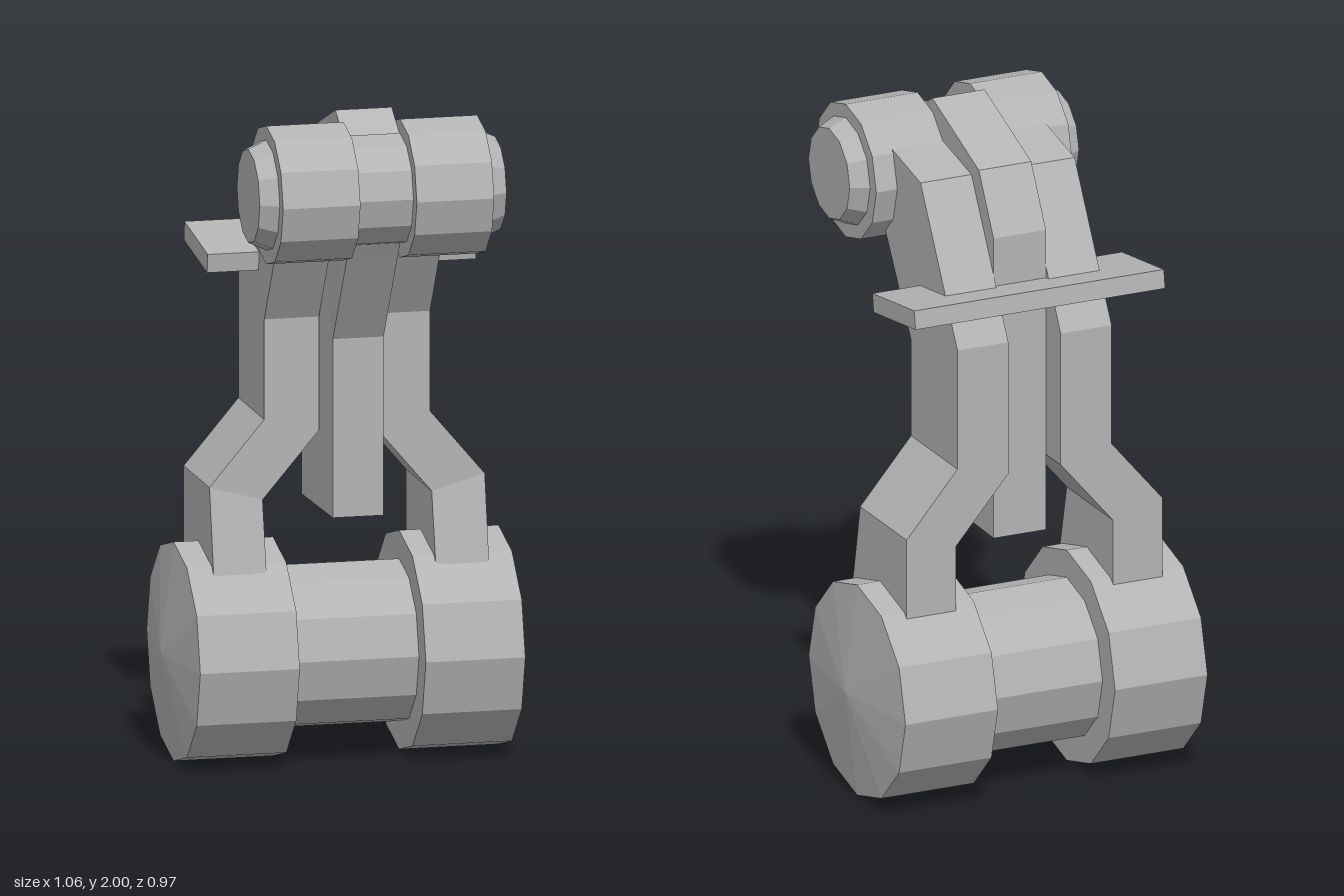
import * as THREE from 'three';

const steel = new THREE.MeshStandardMaterial({ color: 0xb4b4b4, flatShading: true });
steel.name = 'grey steel';

function part(name, geometry) {
  const flat = geometry.index ? geometry.toNonIndexed() : geometry;
  flat.computeVertexNormals();
  const mesh = new THREE.Mesh(flat, steel);
  mesh.name = name;
  return mesh;
}

// Twelve-sided drum lying along x; half is the [radius, x] profile of its +x half
function drum(name, half, y, z) {
  const left = half.map(([r, x]) => [r, -x]).reverse();
  const points = [...left, ...half].map(([r, x]) => new THREE.Vector2(r, x));
  const geometry = new THREE.LatheGeometry(points, 12);
  geometry.rotateZ(-Math.PI / 2);
  geometry.translate(0, y, z);
  return part(name, geometry);
}

// Side arm lofted through four-cornered sections, mirrored by side
// Section: inner x, outer x, front z, front y, back z, back y, drop of the inner edge
const armSections = [
  [0.255, 0.415, 0.05, 0.50, -0.335, 0.50, 0],
  [0.255, 0.415, -0.02, 0.845, -0.335, 0.845, 0.045],
  [0.085, 0.25, -0.02, 1.04, -0.335, 1.04, 0.04],
  [0.085, 0.25, -0.02, 1.34, -0.335, 1.41, 0],
  [0.085, 0.25, 0.22, 1.73, -0.085, 1.85, 0],
  [0.085, 0.25, 0.24, 1.76, 0.20, 1.91, 0],
];

function arm(name, side) {
  const positions = [];
  const index = [];
  const quad = (a, b, c, d) => {
    if (side > 0) index.push(a, b, c, a, c, d);
    else index.push(a, c, b, a, d, c);
  };
  for (const [xi, xo, zf, yf, zb, yb, drop] of armSections) {
    positions.push(
      side * xi, yf - drop, zf, side * xo, yf, zf,
      side * xo, yb, zb, side * xi, yb - drop, zb,
    );
  }
  const last = (armSections.length - 1) * 4;
  for (let s = 0; s < last; s += 4) {
    for (let k = 0; k < 4; k++) {
      const n = (k + 1) % 4;
      quad(s + k, s + n, s + 4 + n, s + 4 + k);
    }
  }
  quad(3, 2, 1, 0);
  quad(last, last + 1, last + 2, last + 3);
  const geometry = new THREE.BufferGeometry();
  geometry.setAttribute('position', new THREE.Float32BufferAttribute(positions, 3));
  geometry.setIndex(index);
  return part(name, geometry);
}

// Bent centre strut, cut from a (z, y) outline and slightly narrowed at the front
function strut() {
  const outline = [
    [-0.235, 0.765], [0.115, 0.765], [0.115, 1.30], [0.28, 1.565], [0.36, 1.69],
    [0.37, 1.88], [0.18, 2.0], [-0.135, 1.88], [-0.235, 1.70],
  ];
  const shape = new THREE.Shape(outline.map(([z, y]) => new THREE.Vector2(z, y)));
  const geometry = new THREE.ExtrudeGeometry(shape, { depth: 0.17, bevelEnabled: false });
  geometry.rotateY(-Math.PI / 2);
  geometry.translate(0.085, 0, 0);
  const p = geometry.attributes.position;
  for (let i = 0; i < p.count; i++) {
    if (p.getZ(i) > 0.1 && p.getY(i) < 1.8) p.setX(i, p.getX(i) * 0.9);
  }
  return part('centreStrut', geometry);
}

export function createModel() {
  const model = new THREE.Group();
  model.name = 'jointedLeg';

  // Wide lower drum with a recessed middle and shallow conical ends
  model.add(drum('lowerDrum', [
    [0.243, 0.19], [0.328, 0.19], [0.328, 0.49], [0, 0.53],
  ], 0.33, -0.156));

  // Upper drum with stepped, tapered end caps
  model.add(drum('upperDrum', [
    [0.165, 0.085], [0.207, 0.085], [0.207, 0.318], [0.165, 0.318], [0.14, 0.372], [0, 0.372],
  ], 1.778, 0.28));

  model.add(strut(), arm('leftArm', 1), arm('rightArm', -1));

  // Tilted cross plate through the back of the arms
  const plate = part('crossPlate', new THREE.BoxGeometry(0.81, 0.057, 0.287));
  plate.position.set(0, 1.521, -0.228);
  plate.rotation.x = 0.14;
  model.add(plate);

  return model;
}
